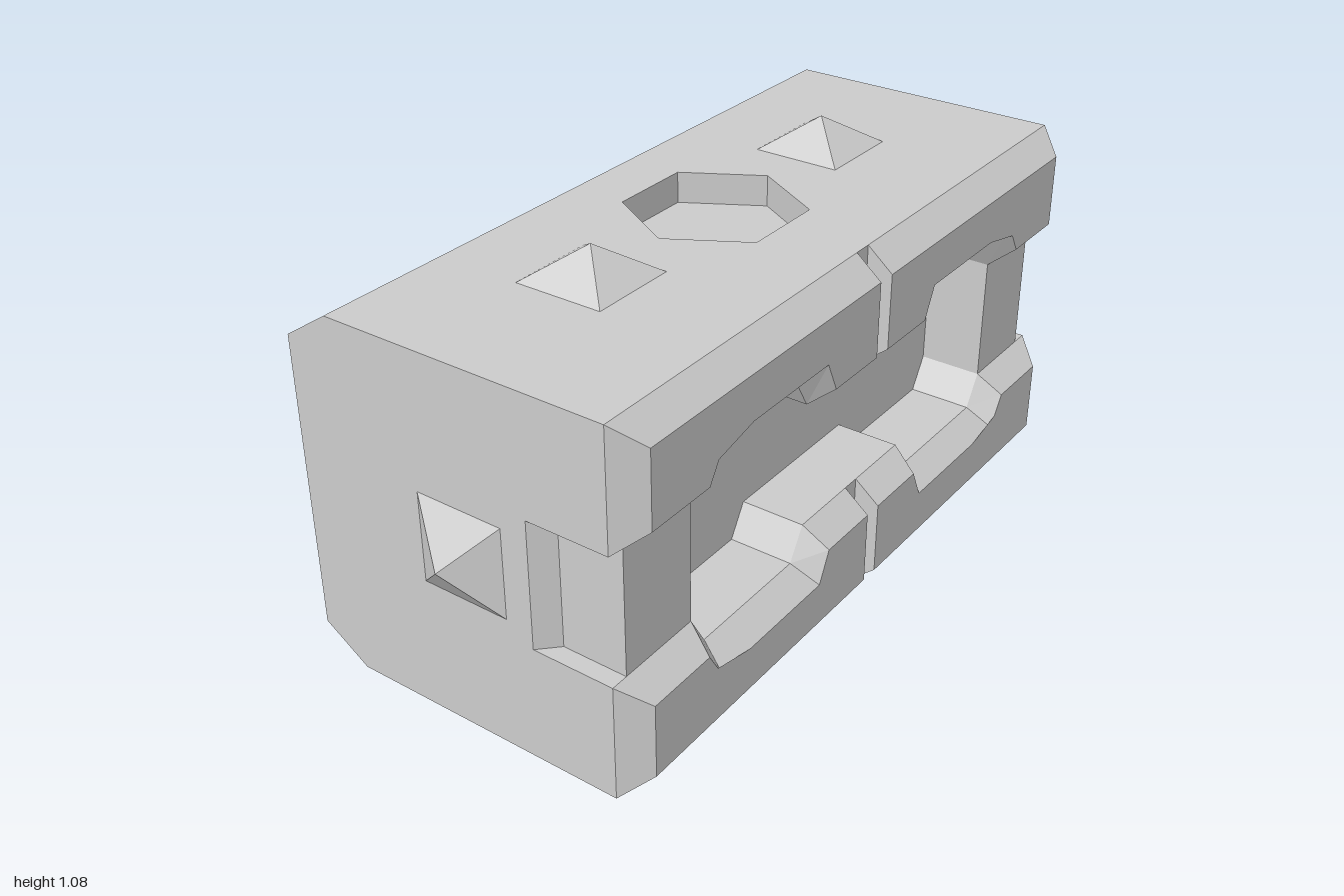
import * as THREE from 'three';

const material = new THREE.MeshStandardMaterial({ color: 0xcccccc, flatShading: true });
const HALF_X = 0.92, HALF_Y = 0.46, BACK = -0.42, FRONT = 0.435, TIP = 0.5;
const INNER = 0.225, PANEL = 0.27, MID_Z = 0.035, SLAB = 0.08;

// Edge of a jaw, rear outline paired with bevelled front outline: [rearX, rearY, frontX, frontY]
const LIP = [
  [0.024, 0.46, 0.024, 0.405],
  [0.024, 0.162, 0.024, 0.215],
  [0.214, 0.162, 0.198, 0.215],
  [0.262, 0.243, 0.235, 0.293],
  [0.604, 0.243, 0.626, 0.293],
  [0.652, 0.162, 0.674, 0.215],
  [0.92, 0.162, 0.865, 0.215],
  [0.92, 0.46, 0.865, 0.405],
];

const shapeOf = (pts) => new THREE.Shape(pts.map(([x, y]) => new THREE.Vector2(x, y)));
const extrude = (shape, depth) => new THREE.ExtrudeGeometry(shape, { depth, bevelEnabled: false });

function add(parent, name, geometry) {
  const mesh = new THREE.Mesh(geometry, material);
  mesh.name = name;
  parent.add(mesh);
  return mesh;
}

// Box given by its lower and upper corners
function box(x0, x1, y0, y1, z0, z1) {
  return new THREE.BoxGeometry(x1 - x0, y1 - y0, z1 - z0)
    .translate((x0 + x1) / 2, (y0 + y1) / 2, (z0 + z1) / 2);
}

// Plan outline in (x, z), raised from y0 to y1
function raise(pts, y0, y1, hole) {
  const flip = (list) => list.map(([x, z]) => [x, -z]);
  const shape = shapeOf(flip(pts));
  if (hole) shape.holes.push(shapeOf(flip(hole)));
  return extrude(shape, y1 - y0).rotateX(-Math.PI / 2).translate(0, y0, 0);
}

// Cover slab with a hexagonal well and a sloped back edge
function coverGeometry() {
  const hexagon = [...Array(6).keys()].map((i) => {
    const a = (i * Math.PI) / 3;
    return [0.22 * Math.cos(a), MID_Z + 0.22 * Math.sin(a)];
  });
  const outline = [[-HALF_X, FRONT], [HALF_X, FRONT], [HALF_X, BACK], [-HALF_X, BACK]];
  const geo = raise(outline, HALF_Y - SLAB, HALF_Y, hexagon);
  const p = geo.attributes.position;
  for (let i = 0; i < p.count; i++) {
    if (p.getY(i) > HALF_Y - 0.01 && p.getZ(i) < BACK + 0.01) p.setZ(i, -0.3);
  }
  geo.computeVertexNormals();
  return geo;
}

// Solid jaw behind the lips, cut to the stepped outline
function jawGeometry() {
  const edge = LIP.slice(2, 7);
  const left = edge.map(([x, y]) => [-x, y]).reverse();
  const top = HALF_Y - SLAB;
  const pts = [...left, ...edge, [HALF_X, top], [-HALF_X, top]];
  return extrude(shapeOf(pts), FRONT - INNER).translate(0, 0, INNER);
}

// Front lip: extruded outline whose front corners move inward to form the bevel
function lipGeometry(side) {
  const geo = extrude(shapeOf(LIP.map(([x, y]) => [side * x, y])), TIP - FRONT);
  const p = geo.attributes.position;
  for (let i = 0; i < p.count; i++) {
    if (p.getZ(i) < 0.01) continue;
    const corner = LIP.find(([x, y]) =>
      Math.abs(x - Math.abs(p.getX(i))) < 1e-4 && Math.abs(y - p.getY(i)) < 1e-4);
    p.setXY(i, side * corner[2], corner[3]);
  }
  geo.computeVertexNormals();
  return geo.translate(0, 0, FRONT);
}

function spike(parent, name, x, y, z, rx, rz) {
  const geo = new THREE.ConeGeometry(0.115 * Math.SQRT2, 0.08, 4)
    .rotateY(Math.PI / 4).translate(0, 0.04, 0);
  const mesh = add(parent, name, geo);
  mesh.position.set(x, y, z);
  mesh.rotation.set(rx, 0, rz);
}

export function createModel() {
  const model = new THREE.Group();
  model.name = 'spikedBlock';
  const body = new THREE.Group();
  body.name = 'body';
  body.position.y = 0.54;
  model.add(body);

  // Core and recessed front panel
  const coreY = HALF_Y - SLAB;
  add(body, 'core', box(-HALF_X, HALF_X, -coreY, coreY, BACK, INNER));
  add(body, 'frontPanel', box(-0.652, 0.652, -0.25, 0.25, INNER, PANEL));

  // Upper half, turned half a revolution for the lower half
  for (const [name, turn] of [['upperHalf', 0], ['lowerHalf', Math.PI]]) {
    const half = new THREE.Group();
    half.name = name;
    half.rotation.z = turn;
    add(half, 'cover', coverGeometry());
    add(half, 'jaw', jawGeometry());
    for (const side of [-1, 1]) {
      add(half, 'frontLip', lipGeometry(side));
      spike(half, 'coverSpike', side * 0.46, HALF_Y, MID_Z, 0, 0);
    }
    body.add(half);
  }

  // End blocks between the jaws, back spikes and end spikes
  for (const side of [-1, 1]) {
    const plan = [[0.652, INNER], [0.92, INNER], [0.875, PANEL], [0.875, FRONT], [0.652, FRONT]];
    add(body, 'endBlock', raise(plan.map(([x, z]) => [side * x, z]), -0.162, 0.162));
    spike(body, 'backSpike', side * 0.46, 0, BACK, -Math.PI / 2, 0);
    spike(body, 'endSpike', side * HALF_X, 0, MID_Z + 0.005, 0, -side * Math.PI / 2);
  }
  return model;
}
